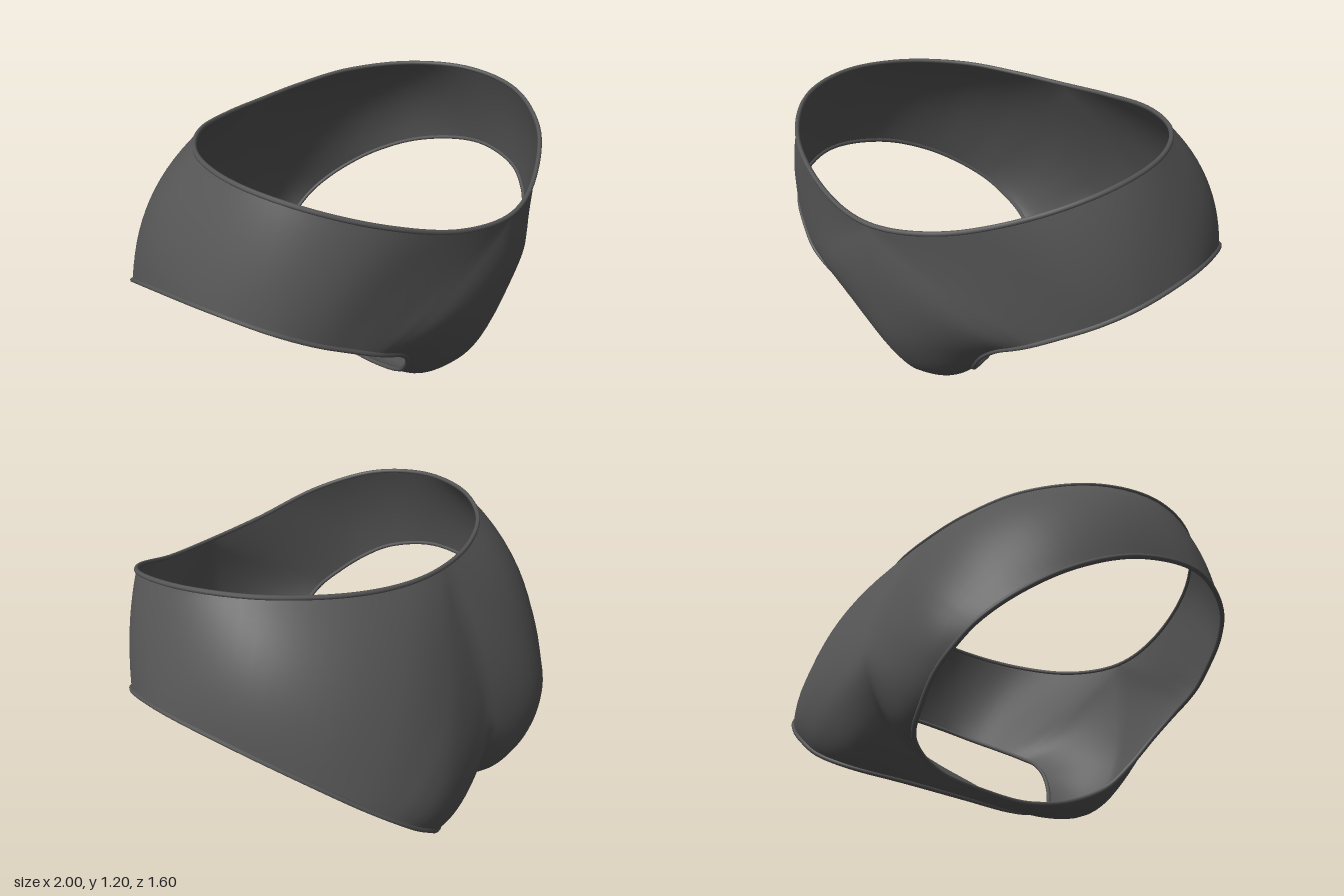
import * as THREE from 'three';
import { mergeVertices } from 'three/addons/utils/BufferGeometryUtils.js';

const points = (rows) => rows.map((p) => new THREE.Vector3(...p));
const mirror = (p) => new THREE.Vector3(-p.x, p.y, p.z);

// Waist edge, front centre -> left side -> back centre
const WAIST = points([
  [0, 0.935, 0.785], [0.3, 0.97, 0.73], [0.6, 1.07, 0.59], [0.78, 1.15, 0.37], [0.82, 1.185, 0.1],
  [0.72, 1.185, -0.17], [0.5, 1.165, -0.38], [0.25, 1.14, -0.475], [0, 1.13, -0.5],
]);

// Centre seam, back waist -> crotch -> front waist
const SEAM = points([
  [0, 1.13, -0.5], [0, 0.88, -0.63], [0, 0.62, -0.73], [0, 0.42, -0.765], [0, 0.25, -0.67],
  [0, 0.14, -0.5], [0, 0.06, -0.2], [0, 0.012, 0.03], [0, 0.008, 0.25], [0, 0.05, 0.46],
  [0, 0.16, 0.6], [0, 0.36, 0.715], [0, 0.6, 0.77], [0, 0.78, 0.788], [0, 0.935, 0.785],
]);

// Leg opening, a closed loop starting at the front
const LEG = points([
  [0.6, 0.53, 0.575], [0.7, 0.585, 0.53], [0.82, 0.65, 0.455], [0.92, 0.71, 0.34], [0.99, 0.75, 0.1],
  [0.955, 0.7, -0.22], [0.86, 0.6, -0.46], [0.74, 0.48, -0.63], [0.63, 0.38, -0.72],
  [0.55, 0.31, -0.75], [0.46, 0.24, -0.76], [0.36, 0.16, -0.74], [0.22, 0.085, -0.67],
  [0.1, 0.035, -0.47], [0.065, 0.015, -0.2], [0.07, 0.012, 0.05], [0.12, 0.05, 0.25],
  [0.19, 0.13, 0.41], [0.26, 0.23, 0.49], [0.36, 0.36, 0.555], [0.46, 0.45, 0.585], [0.53, 0.49, 0.585],
]);

// Fullness of the cloth, halfway between leg opening and waist or seam
const MIDDLE = points([
  [0.33, 0.72, 0.71], [0.54, 0.78, 0.625], [0.74, 0.87, 0.52], [0.87, 0.94, 0.35], [0.92, 0.97, 0.1],
  [0.87, 0.96, -0.24], [0.71, 0.9, -0.49], [0.51, 0.82, -0.645], [0.36, 0.68, -0.735],
  [0.33, 0.52, -0.785], [0.28, 0.38, -0.8], [0.21, 0.25, -0.78], [0.12, 0.15, -0.7],
  [0.06, 0.07, -0.49], [0.035, 0.03, -0.2], [0.035, 0.01, 0.04], [0.06, 0.015, 0.25],
  [0.1, 0.07, 0.45], [0.14, 0.19, 0.57], [0.19, 0.37, 0.665], [0.25, 0.52, 0.71], [0.3, 0.62, 0.72],
]);

const closed = (pts) => new THREE.CatmullRomCurve3(pts, true);
const waistCurve = closed([...WAIST, ...WAIST.slice(1, -1).reverse().map(mirror)]);
const seamCurve = new THREE.CatmullRomCurve3(SEAM);
const legCurve = closed(LEG);
const middleCurve = closed(MIDDLE);

// Each half is a ring of cloth lofted from the leg opening to the waist and seam
function clothGeometry() {
  const stations = LEG.length, around = stations * 5, across = 14;
  const positions = [], index = [];
  for (const side of [1, -1]) {
    const base = positions.length / 3;
    for (let i = 0; i <= around; i++) {
      const t = (i % around) / around, s = t * stations;
      const a = legCurve.getPoint(t), m = middleCurve.getPoint(t);
      const b = s <= 8 ? waistCurve.getPoint(s / 16) : seamCurve.getPoint((s - 8) / 14);
      if (s >= 8 || s === 0) b.x = 0;
      for (let j = 0; j <= across; j++) {
        const v = j / across;
        const p = a.clone().multiplyScalar((1 - v) * (1 - 2 * v))
          .addScaledVector(m, 4 * v * (1 - v))
          .addScaledVector(b, v * (2 * v - 1));
        positions.push(side * p.x, p.y, p.z);
        if (i === around || j === across) continue;
        const q = base + i * (across + 1) + j, r = q + across + 1;
        if (side > 0) index.push(q, r, r + 1, q, r + 1, q + 1);
        else index.push(q, r + 1, r, q, q + 1, r + 1);
      }
    }
  }
  const g = new THREE.BufferGeometry();
  g.setAttribute('position', new THREE.Float32BufferAttribute(positions, 3));
  g.setIndex(index);
  const welded = mergeVertices(g, 1e-4);
  welded.computeVertexNormals();
  return welded;
}

export function createModel() {
  const group = new THREE.Group();
  group.name = 'briefs';
  const material = new THREE.MeshStandardMaterial({ color: 0x555555, side: THREE.DoubleSide });

  const add = (name, geometry) => {
    const mesh = new THREE.Mesh(geometry, material);
    mesh.name = name;
    group.add(mesh);
  };

  add('cloth', clothGeometry());

  // Rolled hems
  const hem = (curve) => new THREE.TubeGeometry(curve, 140, 0.01, 8, true);
  add('waistHem', hem(waistCurve));
  add('leftLegHem', hem(legCurve));
  add('rightLegHem', hem(closed(LEG.map(mirror))));

  return group;
}
